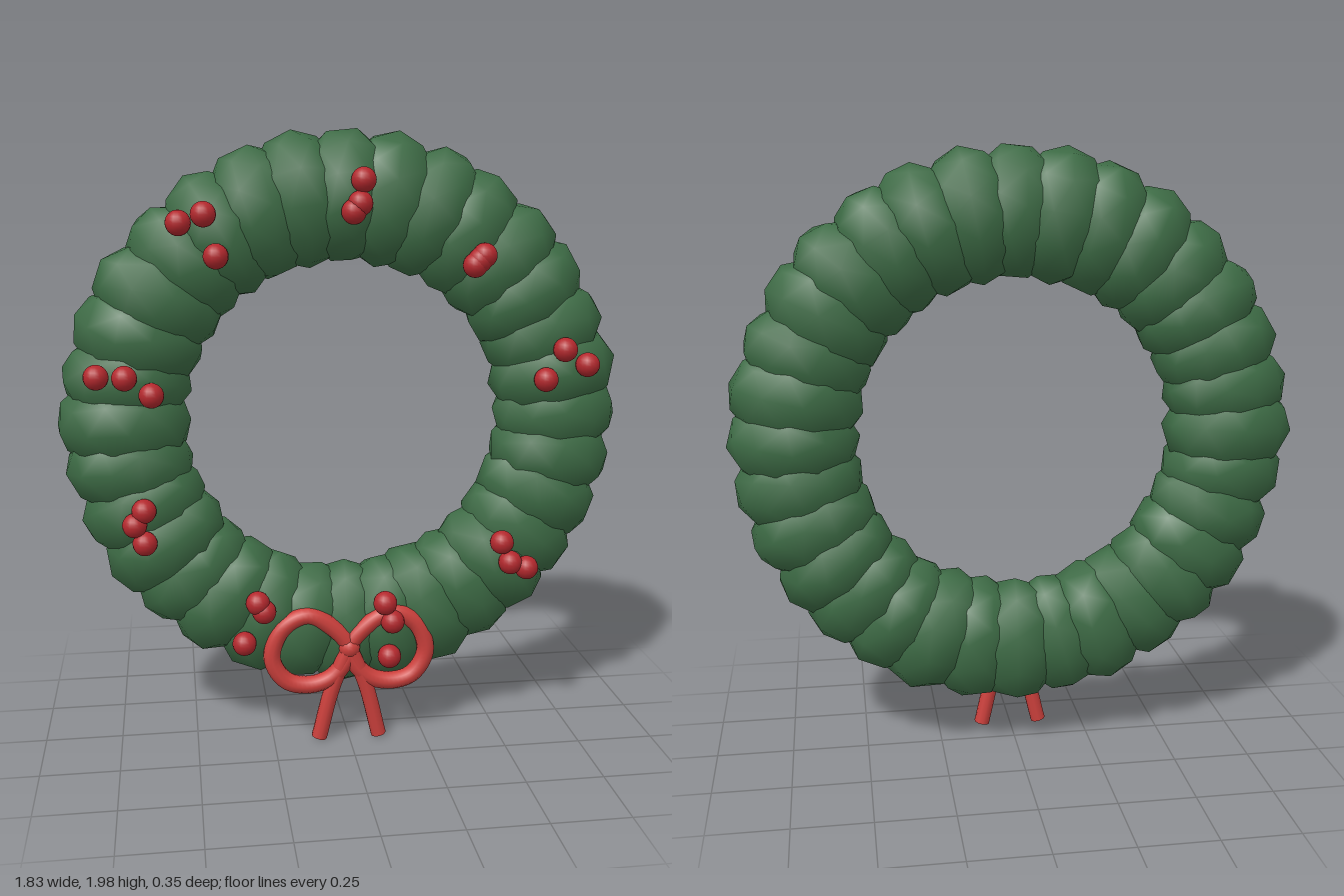
import * as THREE from 'three';
import { mergeVertices } from 'three/addons/utils/BufferGeometryUtils.js';

const RING_RADIUS = 0.705, RING_Y = 1.075, CLUMPS = 32;

// small seeded random generator
function seeded(seed) {
  return () => {
    seed = (seed * 16807) % 2147483647;
    return seed / 2147483647;
  };
}

function part(name, geometry, material, parent) {
  const mesh = new THREE.Mesh(geometry, material);
  mesh.name = name;
  parent.add(mesh);
  return mesh;
}

function namedGroup(name, parent) {
  const group = new THREE.Group();
  group.name = name;
  parent.add(group);
  return group;
}

// low-poly ball with shared corners, so it shades smoothly
function smoothBall() {
  const ball = new THREE.IcosahedronGeometry(1, 1);
  ball.deleteAttribute('uv');
  ball.deleteAttribute('normal');
  return mergeVertices(ball, 1e-3);
}

export function createModel() {
  const model = new THREE.Group();
  model.name = 'wreath';
  const green = new THREE.MeshStandardMaterial({ color: 0x3d6b45 });
  const berryRed = new THREE.MeshStandardMaterial({ color: 0xb3282d });
  const ribbonRed = new THREE.MeshStandardMaterial({ color: 0xcc403c });
  const random = seeded(4217);
  const vary = (amount) => (random() - 0.5) * 2 * amount;

  // foliage: overlapping irregular clumps around a ring
  const foliage = namedGroup('foliage', model);
  const ball = smoothBall();
  for (let i = 0; i < CLUMPS; i++) {
    const angle = (i / CLUMPS) * Math.PI * 2;
    const geometry = ball.clone();
    geometry.rotateX(random() * 6).rotateY(random() * 6);
    const size = 1 + vary(0.03);
    geometry.scale(0.212 * size, 0.16 * size, 0.152 * size);
    geometry.computeVertexNormals();
    const clump = part('foliageClump', geometry, green, foliage);
    clump.position.set(
      Math.cos(angle) * RING_RADIUS, RING_Y + Math.sin(angle) * RING_RADIUS, -0.014 + vary(0.004));
    clump.rotation.z = angle + vary(0.12);
  }

  // berries: nine clusters of three
  const clusters = [
    [0.04, 1.83, 0.03, 1.76, 0.01, 1.735],
    [-0.52, 1.705, -0.445, 1.73, -0.41, 1.605],
    [0.42, 1.6, 0.39, 1.57, 0.405, 1.585],
    [0.69, 1.3, 0.765, 1.25, 0.63, 1.205],
    [-0.78, 1.245, -0.695, 1.24, -0.615, 1.185],
    [-0.65, 0.82, -0.68, 0.775, -0.65, 0.715],
    [0.5, 0.67, 0.53, 0.6, 0.585, 0.58],
    [-0.3, 0.5, -0.28, 0.47, -0.345, 0.365],
    [0.115, 0.48, 0.14, 0.415, 0.13, 0.295],
  ];
  const berryGeometry = new THREE.SphereGeometry(0.039, 16, 12);
  for (const c of clusters) {
    const cluster = namedGroup('berryCluster', model);
    for (let i = 0; i < 6; i += 2) {
      part('berry', berryGeometry, berryRed, cluster).position.set(c[i], c[i + 1], 0.14);
    }
  }

  // bow: two loops, two tails and a knot
  const bow = namedGroup('bow', model);
  const loop = [
    [0, 0.32], [0.05, 0.23], [0.13, 0.2], [0.21, 0.22],
    [0.255, 0.3], [0.22, 0.4], [0.14, 0.44], [0.06, 0.4],
  ];
  for (const side of [-1, 1]) {
    const path = new THREE.CatmullRomCurve3(
      loop.map(([x, y]) => new THREE.Vector3(side * x, y, 0.115)), true);
    part(side > 0 ? 'leftLoop' : 'rightLoop',
      new THREE.TubeGeometry(path, 48, 0.029, 10, true), ribbonRed, bow);

    const tailPath = new THREE.CatmullRomCurve3([
      new THREE.Vector3(0, 0.33, 0.12),
      new THREE.Vector3(side * 0.055, 0.19, 0.115),
      new THREE.Vector3(side * 0.1, 0.01, 0.108),
    ]);
    const tail = namedGroup(side > 0 ? 'leftTail' : 'rightTail', bow);
    part('tailRibbon', new THREE.TubeGeometry(tailPath, 16, 0.026, 10), ribbonRed, tail);
    // flat end of the tail
    const end = part('tailEnd', new THREE.CircleGeometry(0.026, 10), ribbonRed, tail);
    const tip = tailPath.getPoint(1);
    end.position.copy(tip);
    end.lookAt(tip.clone().add(tailPath.getTangent(1)));
  }
  part('knot', new THREE.SphereGeometry(0.036, 14, 10), ribbonRed, bow).position.set(0, 0.325, 0.117);

  return model;
}
